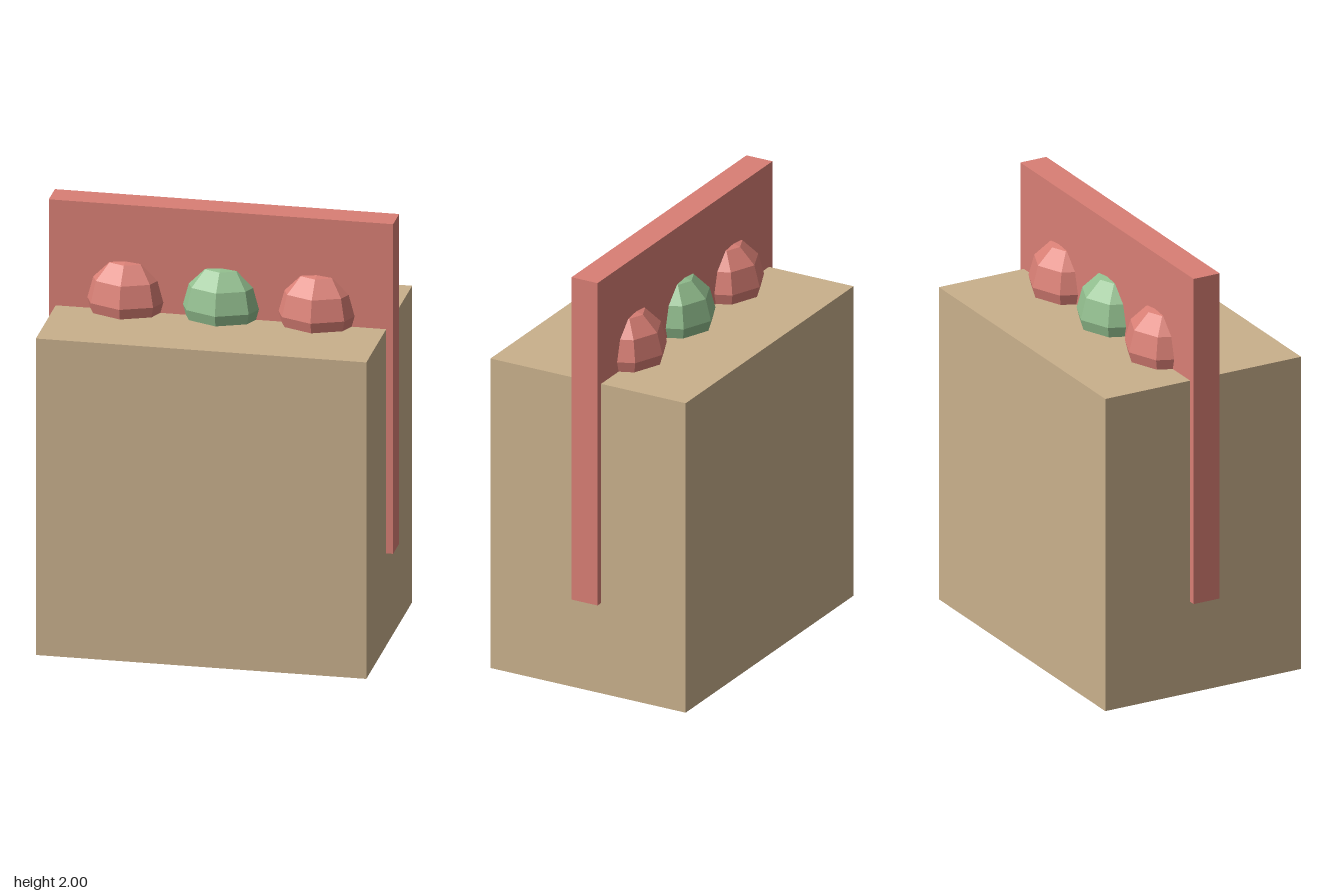
import * as THREE from 'three';

export function createModel() {
  const model = new THREE.Group();
  const material = (name, color) => {
    const m = new THREE.MeshStandardMaterial({ color, flatShading: true });
    m.name = name;
    return m;
  };
  const tan = material('tan', 0xc9b08c);
  const red = material('coral red', 0xd97f75);
  const green = material('soft green', 0x92be8e);

  const add = (name, geometry, mat, x, y, z) => {
    const mesh = new THREE.Mesh(geometry, mat);
    mesh.name = name;
    mesh.position.set(x, y, z);
    model.add(mesh);
  };

  // Solid block body
  add('body', new THREE.BoxGeometry(1.5, 1.5, 1), tan, 0, 0.75, 0);

  // Upright panel through the middle, slightly wider than the body
  add('panel', new THREE.BoxGeometry(1.5625, 1.5625, 0.133), red, 0, 1.21875, 0);

  // Row of faceted balls sunk into the top
  const ball = new THREE.SphereGeometry(0.2, 8, 6);
  add('rightBall', ball, red, -0.434, 1.55, 0);
  add('middleBall', ball, green, 0, 1.55, 0);
  add('leftBall', ball, red, 0.434, 1.55, 0);

  return model;
}
